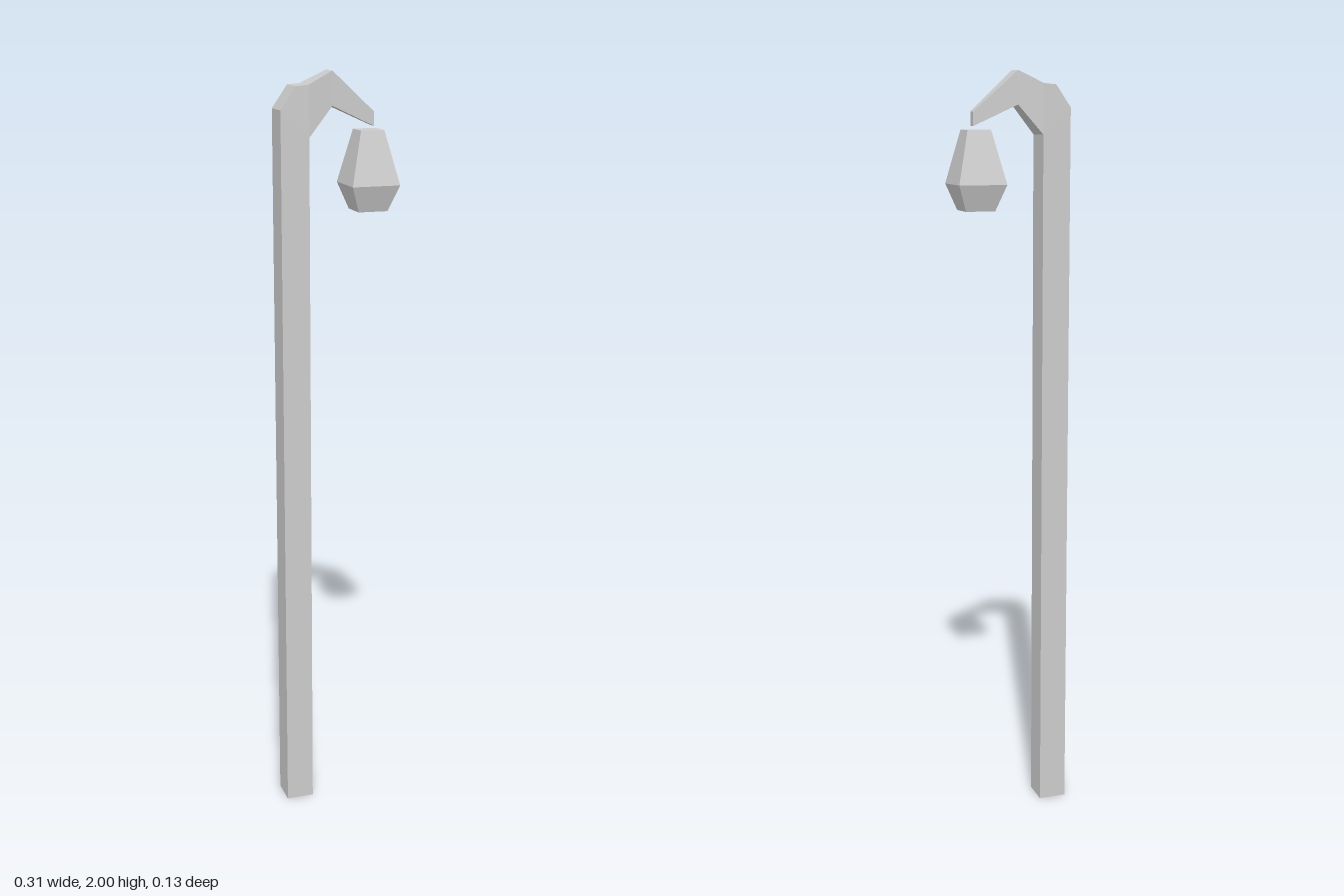
import * as THREE from 'three';

// Skin a closed, flat-faced solid over four-cornered rings, ordered along its path
function loft(rings) {
  const positions = [];
  const tri = (a, b, c) => {
    const area = new THREE.Vector3().crossVectors(b.clone().sub(a), c.clone().sub(a)).length();
    if (area > 1e-9) [a, b, c].forEach((p) => positions.push(p.x, p.y, p.z));
  };
  const quad = (a, b, c, d) => { tri(a, b, c); tri(a, c, d); };
  for (let r = 0; r < rings.length - 1; r++) {
    const lower = rings[r], upper = rings[r + 1];
    for (let i = 0; i < 4; i++) {
      const j = (i + 1) % 4;
      quad(lower[i], lower[j], upper[j], upper[i]);
    }
  }
  const first = rings[0], last = rings[rings.length - 1];
  quad(first[0], first[3], first[2], first[1]);
  quad(last[0], last[1], last[2], last[3]);
  const geometry = new THREE.BufferGeometry();
  geometry.setAttribute('position', new THREE.Float32BufferAttribute(positions, 3));
  geometry.computeVertexNormals();
  return geometry;
}

// Ring spanning an outer and an inner profile point, with half width w in z
const ring = (ox, oy, ix, iy, w) => [
  new THREE.Vector3(ox, oy, -w),
  new THREE.Vector3(ox, oy, w),
  new THREE.Vector3(ix, iy, w),
  new THREE.Vector3(ix, iy, -w),
];

export function createModel() {
  const group = new THREE.Group();
  group.name = 'streetLamp';
  const grey = new THREE.MeshStandardMaterial({ color: 0xcccccc });
  grey.name = 'light grey';

  // Square post bending over into a tapering arm
  const post = new THREE.Mesh(loft([
    ring(-0.153, 0, -0.079, 0, 0.038),
    ring(-0.153, 1.908, -0.079, 1.84, 0.038),
    ring(-0.113, 1.965, -0.079, 1.84, 0.038),
    ring(-0.08, 1.968, -0.079, 1.84, 0.038),
    ring(-0.015, 2, -0.015, 1.915, 0.026),
    ring(0.1, 1.898, 0.1, 1.862, 0.011),
  ]), grey);
  post.name = 'postAndArm';
  group.add(post);

  // Faceted lantern below the tip of the arm: [height, half width]
  const cx = 0.09;
  const lantern = new THREE.Mesh(loft(
    [[1.65, 0.039], [1.717, 0.0635], [1.853, 0.031]]
      .map(([y, h]) => ring(cx - h, y, cx + h, y, h)),
  ), grey);
  lantern.name = 'lantern';
  group.add(lantern);

  return group;
}
